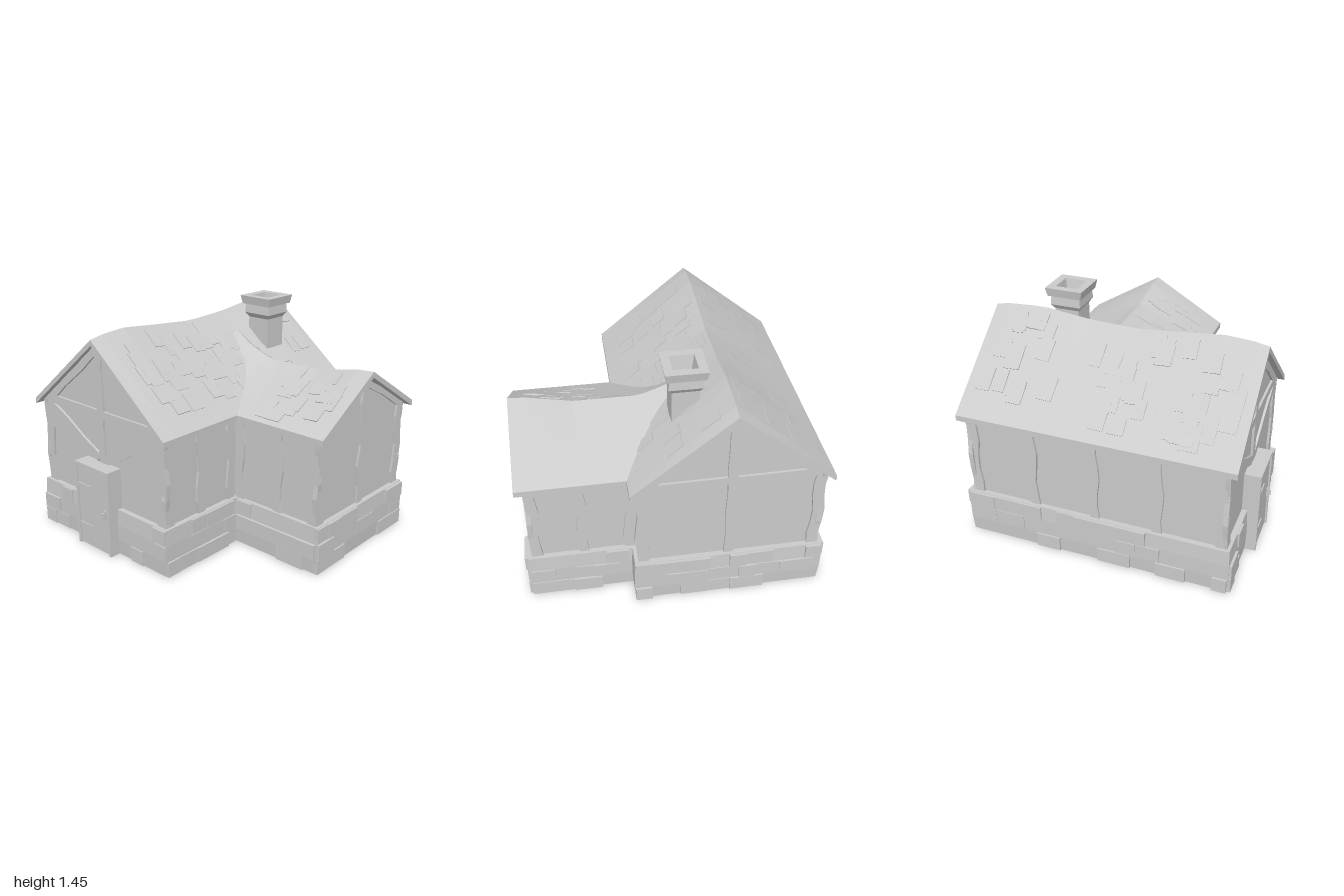
import * as THREE from 'three';

const material = new THREE.MeshStandardMaterial({ color: 0xcccccc, flatShading: true });

function seeded(seed) {
  return () => {
    seed = (seed * 16807) % 2147483647;
    return seed / 2147483647;
  };
}

function add(parent, name, geometry, x = 0, y = 0, z = 0) {
  const mesh = new THREE.Mesh(geometry, material);
  mesh.name = name;
  mesh.position.set(x, y, z);
  parent.add(mesh);
  return mesh;
}

function box(parent, name, w, h, d, x, y, z) {
  return add(parent, name, new THREE.BoxGeometry(w, h, d), x, y, z);
}

// Moves every vertex of a geometry by a rule
function reshape(geometry, rule) {
  const p = geometry.attributes.position;
  const v = new THREE.Vector3();
  for (let i = 0; i < p.count; i++) {
    rule(v.fromBufferAttribute(p, i));
    p.setXYZ(i, v.x, v.y, v.z);
  }
  geometry.computeVertexNormals();
  return geometry;
}

// Linear interpolation through [position, height] points
function interpolate(points, t) {
  let i = 1;
  while (i < points.length - 1 && t > points[i][0]) i++;
  const [a, b] = [points[i - 1], points[i]];
  return THREE.MathUtils.mapLinear(t, a[0], b[0], a[1], b[1]);
}

// House-shaped body with a pointed gable at both ends
function gableBody(parent, name, half, eave, peak, length) {
  const shape = new THREE.Shape([[-half, 0.02], [half, 0.02], [half, eave], [0, peak], [-half, eave]]
    .map(([x, y]) => new THREE.Vector2(x, y)));
  const geometry = new THREE.ExtrudeGeometry(shape, { depth: length, bevelEnabled: false });
  geometry.translate(0, 0, -length / 2);
  return add(parent, name, geometry);
}

// Sagging roof slab with loose shingles; the ridge runs along z
function roof(parent, name, half, length, ridge, tiles) {
  const group = new THREE.Group();
  group.name = name;
  parent.add(group);
  const eave = 0.86, thick = 0.036;
  const top = (x, z) => eave + (interpolate(ridge, z) - eave) * (1 - Math.abs(x) / half);
  const slab = new THREE.BoxGeometry(half * 2, thick, length, 8, 1, 20);
  add(group, name + 'Slab', reshape(slab, v => {
    v.y = top(v.x, v.z) - (v.y < 0 ? thick : 0);
  }));
  const random = seeded(tiles.seed);
  for (let i = 0; i < tiles.count; i++) {
    const side = tiles.sides[i % tiles.sides.length];
    const x = side * half * (0.12 + 0.74 * random());
    const z = THREE.MathUtils.lerp(tiles.from, tiles.to, random());
    const slope = Math.atan2(interpolate(ridge, z) - eave, half);
    const lean = Math.atan2(top(x, z + 0.05) - top(x, z - 0.05), 0.1);
    const tile = box(group, 'shingle', 0.1 + 0.07 * random(), 0.014, 0.07 + 0.05 * random(), x, top(x, z) - 0.002, z);
    tile.rotation.set(-lean, 0, -side * (slope + 0.05 * (random() - 0.3)));
  }
  return group;
}

// Local frame of one wall: x along the wall, y up, z outward
function wallFace(parent, name, x, z, turn) {
  const group = new THREE.Group();
  group.name = name;
  group.position.set(x, 0, z);
  group.rotation.y = turn;
  parent.add(group);
  return group;
}

// Slightly crooked timber between two points of a wall
function beam(face, name, x1, y1, x2, y2, width, bend = 0.004) {
  const length = Math.hypot(x2 - x1, y2 - y1);
  const geometry = new THREE.BoxGeometry(width, length, 0.03, 1, 6, 1);
  reshape(geometry, v => { v.x += bend * Math.sin(v.y * 17 + 2 * x1 + 1); });
  const mesh = add(face, name, geometry, (x1 + x2) / 2, (y1 + y2) / 2, 0);
  mesh.rotation.z = -Math.atan2(x2 - x1, y2 - y1);
}

function posts(face, positions, top = 0.86, width = 0.06) {
  positions.forEach(x => beam(face, 'post', x, 0.28, x, top, width, 0.01));
}

// Raised stones scattered over the plinth of one wall
function stones(face, from, to, seed) {
  const random = seeded(seed);
  for (let row = 0; row < 3; row++) {
    let x = from;
    while (x < to - 0.06) {
      const w = Math.min(0.1 + 0.12 * random(), to - x);
      if (random() > 0.45) {
        box(face, 'stone', w, 0.094, 0.03, x + w / 2, 0.05 + row * 0.1, 0.029 + 0.012 * random());
      }
      x += w;
    }
  }
}

export function createModel() {
  const model = new THREE.Group();
  model.name = 'cottage';
  const house = new THREE.Group();
  house.name = 'house';
  house.rotation.y = 0.2;
  model.add(house);

  // Stone plinths, gently bulging
  const plinth = (name, w, d, x, z) => {
    const geometry = new THREE.BoxGeometry(w, 0.3, d, 1, 3, 1);
    reshape(geometry, v => {
      const inset = Math.abs(v.y) > 0.1 ? 0.006 : 0;
      v.x -= Math.sign(v.x) * inset;
      v.z -= Math.sign(v.z) * inset;
    });
    add(house, name, geometry, x, 0.15, z);
  };
  plinth('mainPlinth', 1.15, 1.7, -0.24, -0.055);
  plinth('wingPlinth', 0.96, 0.95, 0.48, -0.293);

  // Plaster walls
  gableBody(house, 'mainWalls', 0.535, 0.86, 1.29, 1.62).position.set(-0.24, 0, -0.055);
  const wing = gableBody(house, 'wingWalls', 0.438, 0.85, 1.09, 0.92);
  wing.position.set(0.46, 0, -0.29);
  wing.rotation.y = Math.PI / 2;

  // Roofs
  const mainRidge = [[-0.865, 1.34], [-0.8, 1.355], [-0.55, 1.37], [-0.25, 1.335], [0.05, 1.32],
    [0.35, 1.345], [0.62, 1.37], [0.8, 1.355], [0.865, 1.34]];
  roof(house, 'mainRoof', 0.59, 1.73, mainRidge, { seed: 77, count: 90, sides: [-1, 1], from: -0.76, to: 0.76 })
    .position.set(-0.24, 0, -0.052);
  const wingRidge = [[-0.53, 1.24], [-0.4, 1.15], [-0.25, 1.095], [-0.1, 1.078], [0.15, 1.09], [0.42, 1.145], [0.53, 1.152]];
  const wingRoof = roof(house, 'wingRoof', 0.49, 1.06, wingRidge, { seed: 31, count: 16, sides: [-1], from: 0, to: 0.45 });
  wingRoof.position.set(0.45, 0, -0.29);
  wingRoof.rotation.y = Math.PI / 2;

  // Front gable timbers
  const front = wallFace(house, 'frontTimbers', -0.24, 0.755, 0);
  posts(front, [-0.52, 0.52], 0.87, 0.07);
  beam(front, 'kingPost', 0, 0.55, 0, 1.28, 0.055);
  beam(front, 'tieBeam', -0.53, 0.87, 0.53, 0.87, 0.055);
  for (const s of [-1, 1]) {
    beam(front, 'brace', s * 0.49, 0.83, s * 0.03, 0.58, 0.06);
    beam(front, 'rafter', s * 0.52, 0.855, 0, 1.28, 0.05);
  }
  stones(front, -0.57, -0.17, 5);
  stones(front, 0.17, 0.57, 8);

  // Back gable timbers
  const back = wallFace(house, 'backTimbers', -0.24, -0.865, Math.PI);
  posts(back, [-0.52, 0.52], 0.87, 0.07);
  beam(back, 'kingPost', 0, 0.28, 0, 1.28, 0.06);
  beam(back, 'tieBeam', -0.53, 0.87, 0.53, 0.87, 0.05);
  for (const s of [-1, 1]) beam(back, 'rafter', s * 0.52, 0.855, 0, 1.28, 0.05);
  stones(back, -0.57, 0.57, 21);

  // Wing gable timbers
  const end = wallFace(house, 'wingEndTimbers', 0.92, -0.29, Math.PI / 2);
  posts(end, [-0.42, 0.42], 0.86, 0.065);
  beam(end, 'kingPost', 0, 0.28, 0, 1.09, 0.055, 0.012);
  for (const s of [-1, 1]) beam(end, 'rafter', s * 0.42, 0.85, 0, 1.085, 0.04);
  stones(end, -0.47, 0.47, 43);

  // Side wall timbers
  const longSide = wallFace(house, 'longSideTimbers', -0.775, -0.055, -Math.PI / 2);
  posts(longSide, [-0.79, -0.4, 0, 0.4, 0.79]);
  stones(longSide, -0.84, 0.84, 64);
  const shortSide = wallFace(house, 'shortSideTimbers', 0.295, 0.46, Math.PI / 2);
  posts(shortSide, [-0.275, -0.01, 0.26]);
  stones(shortSide, -0.33, 0.27, 75);
  const wingFront = wallFace(house, 'wingFrontTimbers', 0.62, 0.148, 0);
  posts(wingFront, [-0.28, 0.02, 0.28]);
  stones(wingFront, -0.27, 0.33, 86);
  const wingBack = wallFace(house, 'wingBackTimbers', 0.62, -0.728, Math.PI);
  posts(wingBack, [-0.28, 0, 0.28]);
  stones(wingBack, -0.33, 0.27, 97);

  // Door with frame, strap hinges and handle
  const door = new THREE.Group();
  door.name = 'door';
  door.position.set(-0.245, 0, 0.8);
  house.add(door);
  box(door, 'doorPanel', 0.28, 0.54, 0.1, 0, 0.275, 0);
  for (const s of [-1, 1]) box(door, 'doorJamb', 0.02, 0.56, 0.12, s * 0.145, 0.28, 0);
  box(door, 'doorLintel', 0.31, 0.02, 0.12, 0, 0.55, 0);
  for (const y of [0.14, 0.41]) box(door, 'strapHinge', 0.12, 0.025, 0.01, -0.075, y, 0.052);
  box(door, 'handlePlate', 0.018, 0.06, 0.012, 0.11, 0.27, 0.053);
  box(door, 'handle', 0.012, 0.035, 0.02, 0.11, 0.27, 0.066);

  // Square chimney, flared under the cap and hollow at the top
  const half = [[0.08, 0.95], [0.08, 1.3], [0.1, 1.33], [0.095, 1.39], [0.112, 1.39], [0.123, 1.445],
    [0.072, 1.445], [0.058, 1.36], [0, 1.36]];
  const profile = half.map(([r, y]) => new THREE.Vector2(r * Math.SQRT2, y));
  const chimney = add(house, 'chimney', new THREE.LatheGeometry(profile, 4), -0.013, 0, -0.512);
  chimney.rotation.y = Math.PI / 4;

  return model;
}
